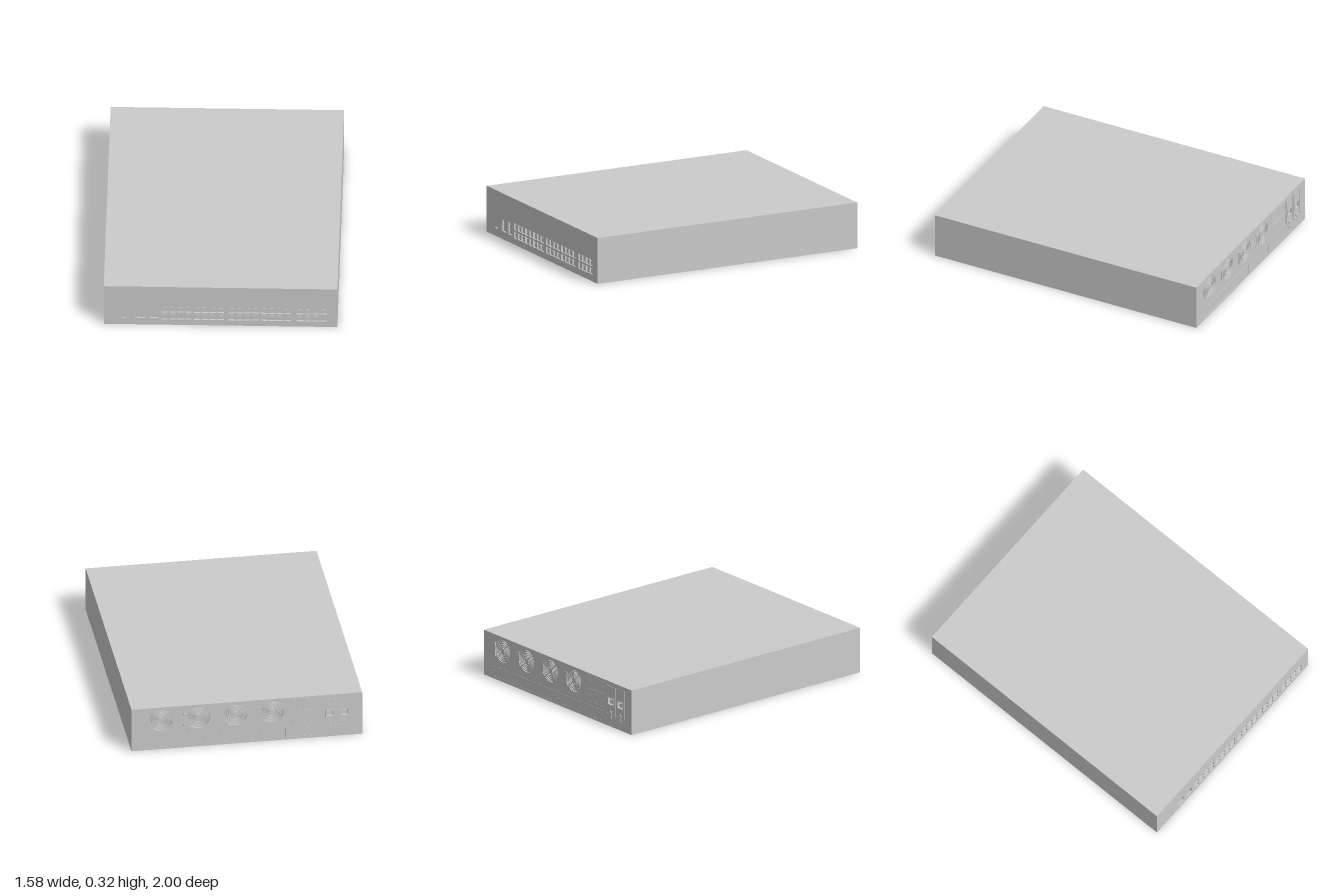
import * as THREE from 'three';

const mat = new THREE.MeshStandardMaterial({ color: 0xcccccc });
const W = 1.58, H = 0.32, FRONT = 1, BACK = -0.995;
const FRONT_DEPTH = 0.012, BACK_DEPTH = 0.015;

// closed outline of a rectangle, optionally with chamfered top corners
function rectPoints(x0, x1, y0, y1, c = 0) {
  const pts = c
    ? [[x0, y0], [x1, y0], [x1, y1 - c], [x1 - c, y1], [x0 + c, y1], [x0, y1 - c]]
    : [[x0, y0], [x1, y0], [x1, y1], [x0, y1]];
  return pts.map(([x, y]) => new THREE.Vector2(x, y));
}

function circlePath(x, y, r) {
  return new THREE.Path().absarc(x, y, r, 0, Math.PI * 2, true);
}

function plate(name, outline, holes, z, depth) {
  const shape = new THREE.Shape(outline);
  shape.holes = holes;
  const geo = new THREE.ExtrudeGeometry(shape, { depth, bevelEnabled: false, curveSegments: 20 });
  const mesh = new THREE.Mesh(geo, mat);
  mesh.name = name;
  mesh.position.z = z;
  return mesh;
}

function box(name, w, h, d, x, y, z) {
  const mesh = new THREE.Mesh(new THREE.BoxGeometry(w, h, d), mat);
  mesh.name = name;
  mesh.position.set(x, y, z);
  return mesh;
}

function disc(name, r, depth, x, y, z, axis = 'z') {
  const geo = new THREE.CylinderGeometry(r, r, depth, 20);
  if (axis === 'z') geo.rotateX(Math.PI / 2);
  if (axis === 'x') geo.rotateZ(Math.PI / 2);
  const mesh = new THREE.Mesh(geo, mat);
  mesh.name = name;
  mesh.position.set(x, y, z);
  return mesh;
}

// rectangular rim around an opening or panel, standing on the back
function rim(name, x0, x1, y0, y1, t, depth) {
  const hole = new THREE.Path(rectPoints(x0 + t, x1 - t, y0 + t, y1 - t));
  return plate(name, rectPoints(x0, x1, y0, y1), [hole], BACK - depth, depth);
}

function createFront() {
  const g = new THREE.Group();
  g.name = 'frontPanel';
  const holes = [];
  const open = (...r) => holes.push(new THREE.Path(rectPoints(...r)));
  // five blocks of four columns and two rows of network ports
  for (const start of [-0.4, -0.18, 0.053, 0.272, 0.515]) {
    for (let i = 0; i < 4; i++) {
      const x = start + i * 0.053;
      for (const y of [0.045, 0.104]) {
        open(x, x + 0.045, y, y + 0.046);
        g.add(box('portTongue', 0.026, 0.012, 0.005, x + 0.0225, y + 0.03, FRONT - FRONT_DEPTH + 0.0025));
      }
    }
  }
  // tall ports, button openings and indicator holes
  open(-0.565, -0.51, 0.055, 0.14, 0.009);
  open(-0.481, -0.428, 0.055, 0.14);
  for (const x of [-0.665, -0.649]) open(x, x + 0.012, 0.053, 0.067);
  for (const y of [0.06, 0.078, 0.096, 0.114]) holes.push(circlePath(-0.576, y, 0.003));
  g.add(plate('frontPlate', rectPoints(-W / 2, W / 2, 0, H), holes, FRONT - FRONT_DEPTH, FRONT_DEPTH));
  return g;
}

function createFan(x, y, r) {
  const g = new THREE.Group();
  g.name = 'fan';
  // concentric guard wires, hub and spokes, level with the back plate
  for (let i = 1; i <= 4; i++) {
    const ro = 0.024 + i * 0.0125;
    const ring = new THREE.Shape().absarc(0, 0, ro, 0, Math.PI * 2, false);
    const mesh = plate('guardRing', ring.getPoints(20), [circlePath(0, 0, ro - 0.007)], BACK, 0.007);
    mesh.position.x = x;
    mesh.position.y = y;
    g.add(mesh);
  }
  g.add(disc('fanHub', 0.022, BACK_DEPTH, x, y, BACK + BACK_DEPTH / 2));
  for (const a of [Math.PI / 4, -Math.PI / 4]) {
    const spoke = box('guardSpoke', r * 2, 0.007, 0.006, x, y, BACK + 0.0035);
    spoke.rotation.z = a;
    g.add(spoke);
  }
  // grip beside the fan
  g.add(box('fanHandle', 0.02, 0.097, 0.005, x + 0.078 + 0.006, 0.215, BACK - 0.0025));
  for (const s of [-1, 1])
    g.add(box('handleFoot', 0.028, 0.016, 0.003, x + 0.084, 0.215 + s * 0.04, BACK - 0.0015));
  return g;
}

function createPowerSupply(x) {
  const g = new THREE.Group();
  g.name = 'powerSupply';
  g.add(rim('supplyFrame', x - 0.049, x + 0.049, 0.085, 0.29, 0.004, 0.002));
  g.add(rim('socketFrame', x - 0.03, x + 0.03, 0.15, 0.21, 0.007, 0.003));
  g.add(box('socketCore', 0.026, 0.022, 0.012, x, 0.18, BACK + 0.009));
  // cable clip below the socket
  g.add(box('clipStem', 0.012, 0.058, 0.004, x, 0.084, BACK - 0.002));
  for (const y of [0.064, 0.101]) g.add(disc('clipPad', 0.0125, 0.005, x, y, BACK - 0.0025));
  return g;
}

function createBack() {
  const g = new THREE.Group();
  g.name = 'backPanel';
  const fanR = 0.079, fanY = 0.22;
  const holes = [];
  for (const x of [0.59, 0.335, 0.08, -0.172]) {
    holes.push(circlePath(x, fanY, fanR));
    g.add(createFan(x, fanY, fanR));
  }
  for (const x of [-0.566, -0.668]) {
    holes.push(new THREE.Path(rectPoints(x - 0.023, x + 0.023, 0.157, 0.203)));
    g.add(createPowerSupply(x));
  }
  g.add(plate('backPlate', rectPoints(-W / 2, W / 2, 0, H), holes, BACK, BACK_DEPTH));

  // blanking covers along the bottom and the card slots above them
  const covers = [[0.024, 0.694, 0.014, 0.093], [-0.266, 0.018, 0.014, 0.093], [-0.48, -0.272, 0.014, 0.093],
    [-0.505, -0.325, 0.215, 0.306], [-0.505, -0.325, 0.118, 0.21]];
  for (const [x0, x1, y0, y1] of covers) {
    g.add(rim('coverFrame', x0, x1, y0, y1, 0.004, 0.0015));
    for (const x of [x0 + 0.02, x1 - 0.02])
      g.add(disc('coverScrew', 0.005, 0.002, x, (y0 + y1) / 2, BACK - 0.001));
  }
  return g;
}

function createScrews() {
  const g = new THREE.Group();
  g.name = 'caseScrews';
  // lid
  for (const [x, z] of [[-0.17, -0.9], [0.68, -0.68], [-0.67, 0.845], [0.16, 0.857]])
    g.add(disc('lidScrew', 0.005, 0.001, x, H, z, 'y'));
  // side walls
  for (const s of [-1, 1])
    for (const y of [0.03, 0.3])
      for (const z of [-0.87, -0.32, 0.4, 0.87])
        g.add(disc('sideScrew', 0.005, 0.002, s * W / 2, y, z, 'x'));
  return g;
}

export function createModel() {
  const model = new THREE.Group();
  model.name = 'rackUnit';
  const z0 = BACK + BACK_DEPTH, z1 = FRONT - FRONT_DEPTH;
  model.add(box('caseBody', W, H, z1 - z0, 0, H / 2, (z0 + z1) / 2));
  model.add(createFront(), createBack(), createScrews());
  return model;
}
